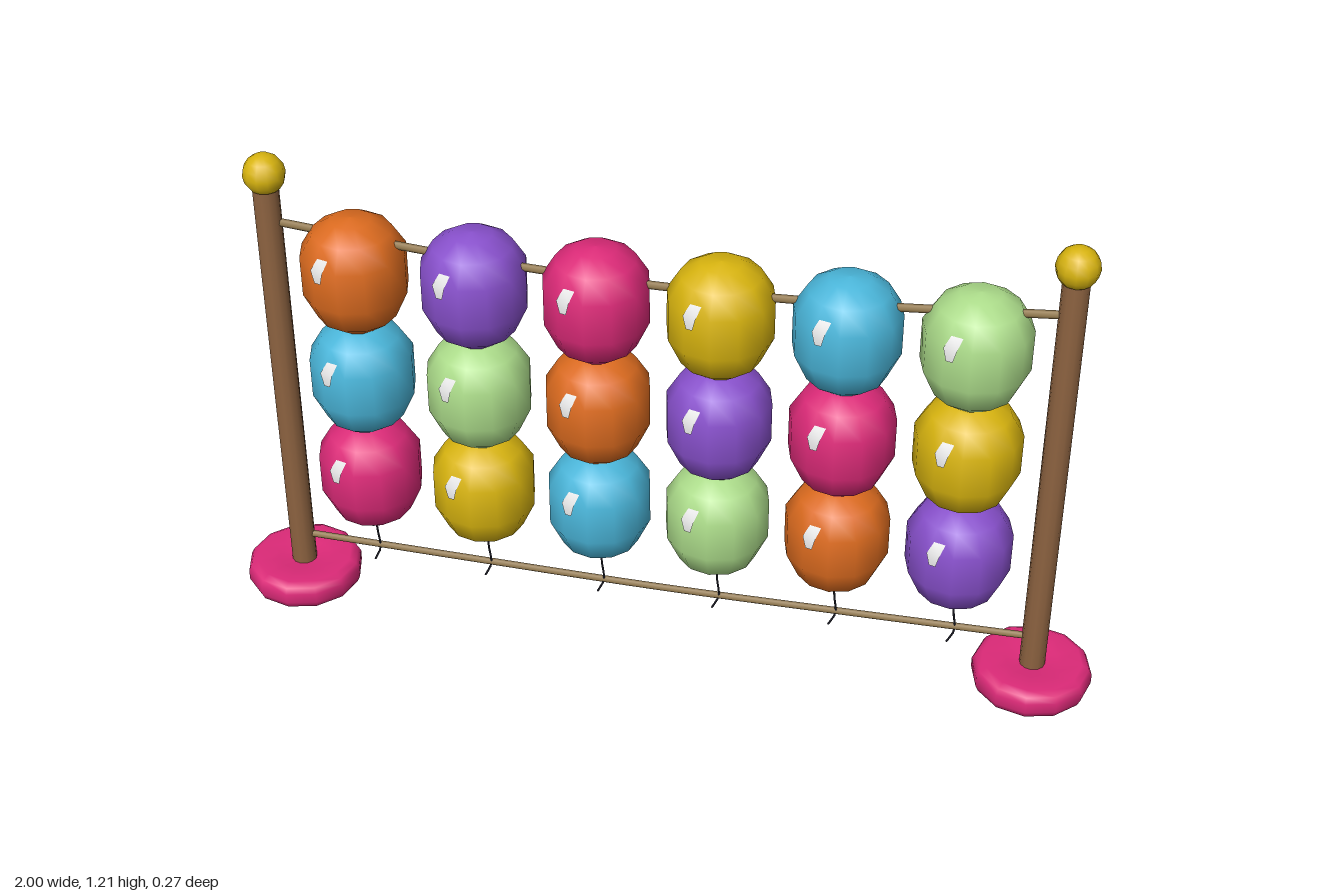
import * as THREE from 'three';

const mat = (name, color) => {
  const m = new THREE.MeshStandardMaterial({ color });
  m.name = name;
  return m;
};

// Balloon cross-section: [radius, height from the middle], bottom to top
const PROFILE = [[0, -0.147], [0.042, -0.142], [0.088, -0.108], [0.117, -0.045],
  [0.117, 0.05], [0.088, 0.098], [0.045, 0.125], [0, 0.13]];
const SIDES = 12;

const lathe = (points, sides) =>
  new THREE.LatheGeometry(points.map(([x, y]) => new THREE.Vector2(x, y)), sides);

const tube = (points, segments, radius, sides) => new THREE.TubeGeometry(
  new THREE.CatmullRomCurve3(points.map(([x, y, z]) => new THREE.Vector3(x, y, z))),
  segments, radius, sides);

// Balloon radius at a height
function radiusAt(y) {
  const i = PROFILE.findIndex((p) => p[1] >= y);
  const [r0, y0] = PROFILE[i - 1], [r1, y1] = PROFILE[i];
  return THREE.MathUtils.lerp(r0, r1, (y - y0) / (y1 - y0));
}

// Thin shine patch lying just above one front facet; rows are [height, start, end]
function shineGeometry() {
  const rows = [[0.02, 0.12, 0.36], [0.05, 0.0, 0.48], [0.074, 0.12, 0.6]];
  const pos = [], idx = [];
  for (const [y, t0, t1] of rows) {
    const r = radiusAt(y) + 0.003;
    for (const t of [t0, t1]) {
      const a = -Math.PI * 2 / SIDES;
      pos.push(r * Math.sin(a) * (1 - t), y, r * THREE.MathUtils.lerp(Math.cos(a), 1, t));
    }
  }
  for (let i = 0; i < rows.length - 1; i++) {
    const a = i * 2;
    idx.push(a, a + 1, a + 2, a + 1, a + 3, a + 2);
  }
  const g = new THREE.BufferGeometry();
  g.setAttribute('position', new THREE.Float32BufferAttribute(pos, 3));
  g.setIndex(idx);
  g.computeVertexNormals();
  return g;
}

export function createModel() {
  const model = new THREE.Group();
  model.name = 'balloonFence';

  const orange = mat('orange', 0xdc6b1f);
  const purple = mat('purple', 0x8850cc);
  const pink = mat('pink', 0xdc2a78);
  const yellow = mat('yellow', 0xd8b40f);
  const blue = mat('sky blue', 0x4ab6da);
  const green = mat('light green', 0xacdc8a);
  const wood = mat('wood', 0x8c6240);
  const rope = mat('rope', 0x947a4e);
  const black = mat('black', 0x1c1c26);
  const white = mat('shine white', 0xe6e6e6);

  const add = (parent, name, geometry, material, x = 0, y = 0, z = 0) => {
    const mesh = new THREE.Mesh(geometry, material);
    mesh.name = name;
    mesh.position.set(x, y, z);
    parent.add(mesh);
    return mesh;
  };

  // Posts with a rounded foot, a cushion-like base and a ball on top
  const postGeo = lathe([[0, 0], [0.016, 0.006], [0.026, 0.02], [0.029, 0.04], [0.029, 1.13], [0, 1.14]], 12);
  const baseGeo = lathe([[0, 0.072], [0.06, 0.062], [0.112, 0.057], [0.128, 0.067], [0.135, 0.083],
    [0.135, 0.107], [0.128, 0.121], [0.112, 0.13], [0.06, 0.126], [0, 0.116]], 12);
  const knobGeo = new THREE.SphereGeometry(0.047, 12, 8);
  for (const side of [-1, 1]) {
    const post = new THREE.Group();
    post.name = side > 0 ? 'leftPost' : 'rightPost';
    post.position.x = side * 0.865;
    add(post, 'pole', postGeo, wood);
    add(post, 'base', baseGeo, pink);
    add(post, 'knob', knobGeo, yellow, 0, 1.158);
    model.add(post);
  }

  // Sagging ropes between the posts
  add(model, 'topRope', tube([[-0.86, 1.043, 0], [-0.43, 1.008, 0], [0, 0.995, 0],
    [0.43, 1.008, 0], [0.86, 1.043, 0]], 20, 0.009, 6), rope);
  add(model, 'bottomRope', tube([[-0.86, 0.194, 0], [-0.43, 0.187, 0], [0, 0.182, 0],
    [0.43, 0.187, 0], [0.86, 0.194, 0]], 20, 0.008, 6), rope);

  // Three rows of balloons, the colours shifting along from row to row
  const colours = [orange, purple, pink, yellow, blue, green];
  const balloonGeo = lathe(PROFILE, SIDES);
  const shineGeo = shineGeometry();
  const knotGeo = new THREE.CylinderGeometry(0.01, 0.022, 0.018, 8);
  const stringGeo = tube([[0, 0.27, 0], [0.003, 0.225, 0], [0.008, 0.185, 0.004], [-0.008, 0.147, 0.004]], 8, 0.0025, 5);
  for (let col = 0; col < 6; col++) {
    const x = (col - 2.5) * 0.271;
    for (let row = 0; row < 3; row++) {
      const balloon = new THREE.Group();
      balloon.name = `balloonRow${row + 1}Column${col + 1}`;
      balloon.position.set(x, 0.945 - row * 0.264, 0);
      add(balloon, 'balloonBody', balloonGeo, colours[(col + 6 - row * 2) % 6]);
      add(balloon, 'shine', shineGeo, white);
      model.add(balloon);
    }
    // Knot and string tying the column to the lower rope
    add(model, 'knot', knotGeo, black, x, 0.268);
    add(model, 'string', stringGeo, black, x);
  }
  return model;
}
